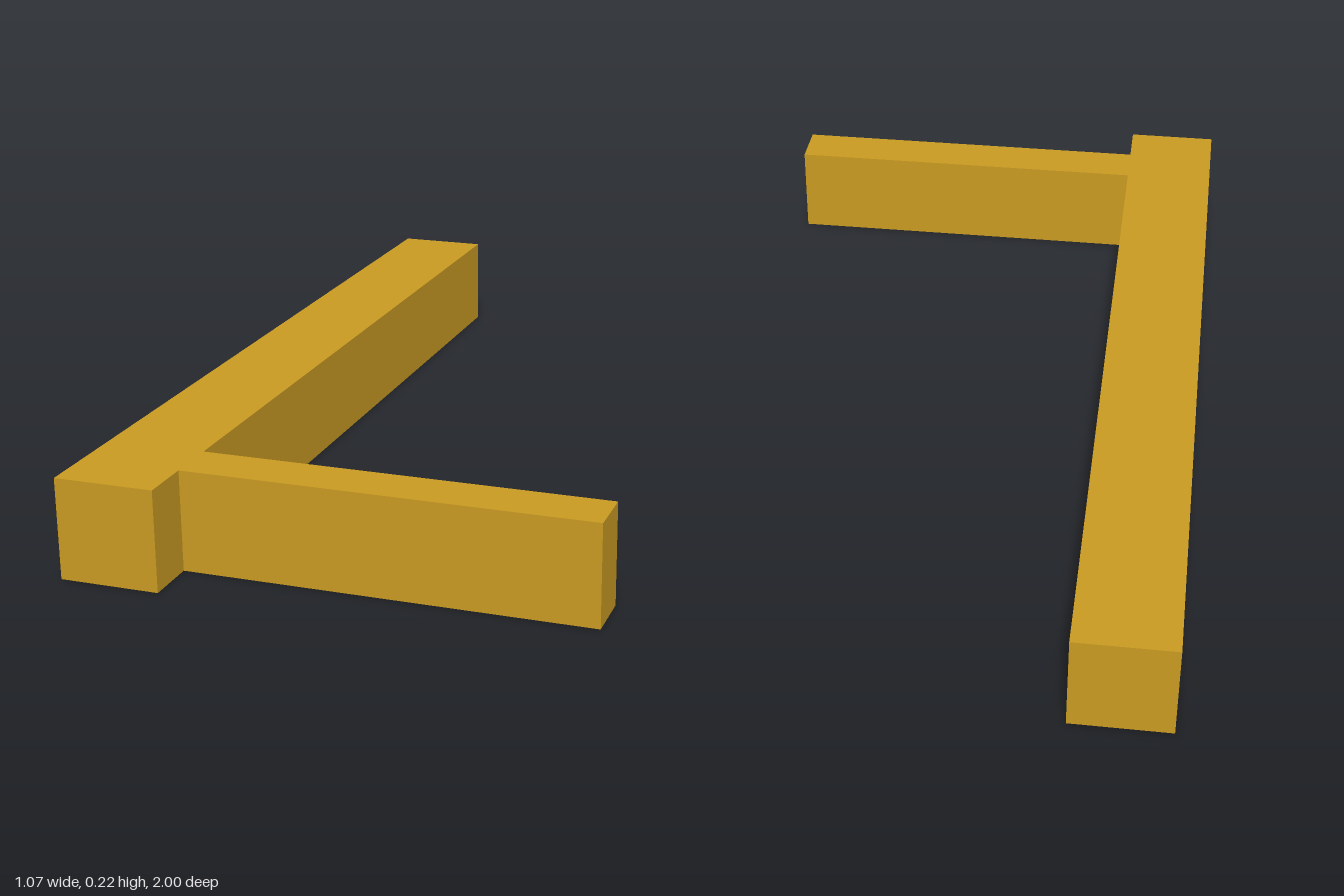
import * as THREE from 'three';

const HEIGHT = 0.215;

// Plan outline as [x, z]: a long beam along z with a thin arm out to +x
const beam = { left: -0.537, right: -0.325, back: -1, front: 1 };
const arm = { end: 0.537, back: 0.775, front: 0.887 };

export function createModel() {
  const gold = new THREE.MeshStandardMaterial({ color: 0xc99a22 });
  gold.name = 'gold';

  const outline = [
    [beam.left, beam.front],
    [beam.right, beam.front],
    [beam.right, arm.front],
    [arm.end, arm.front],
    [arm.end, arm.back],
    [beam.right, arm.back],
    [beam.right, beam.back],
    [beam.left, beam.back],
  ];

  // Extrude the plan upward so beam and arm form one seamless solid
  const shape = new THREE.Shape(outline.map(([x, z]) => new THREE.Vector2(x, -z)));
  const geometry = new THREE.ExtrudeGeometry(shape, { depth: HEIGHT, bevelEnabled: false });
  geometry.rotateX(-Math.PI / 2);

  const body = new THREE.Mesh(geometry, gold);
  body.name = 'beamWithArm';

  const model = new THREE.Group();
  model.name = 'branchedBeam';
  model.add(body);
  return model;
}
